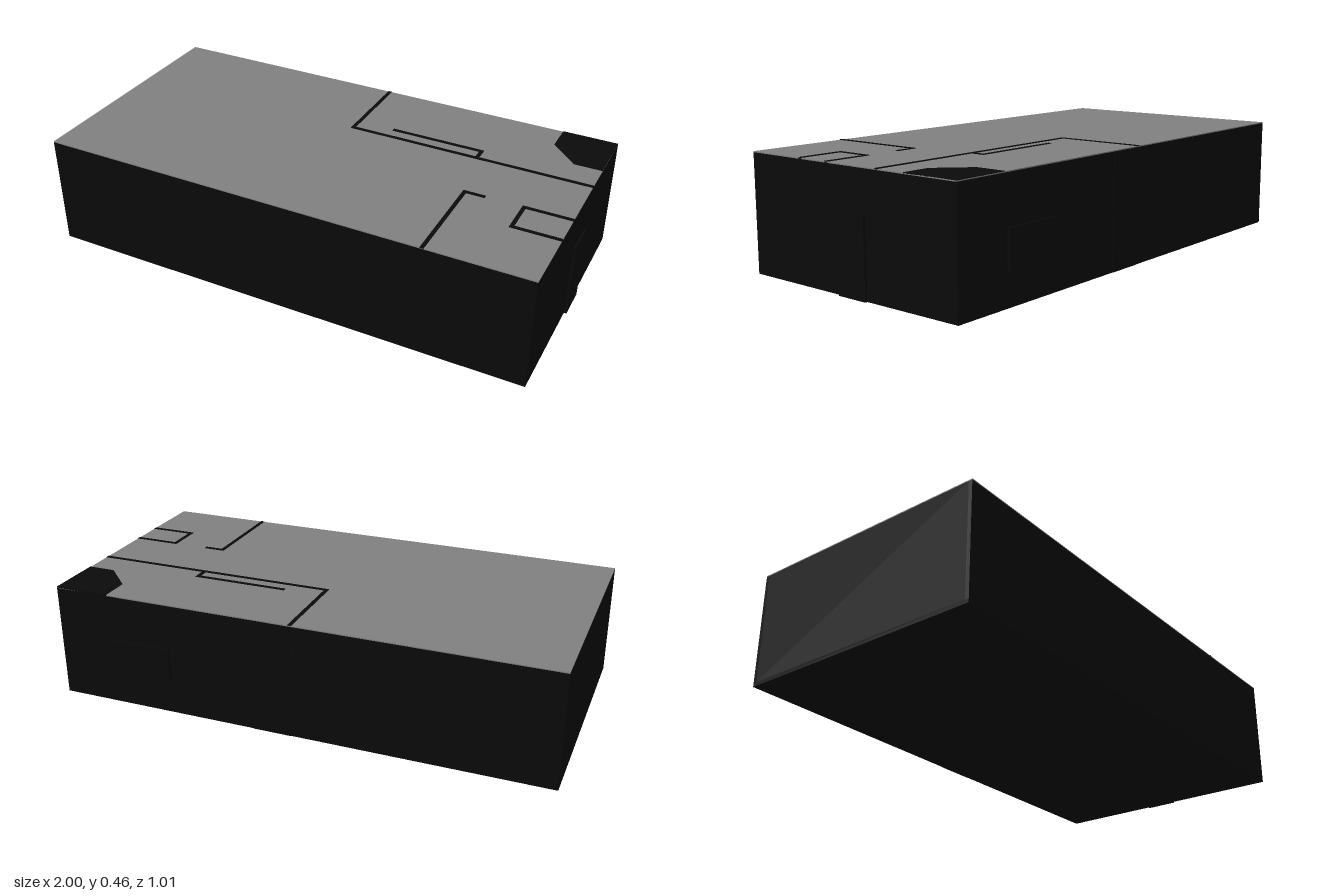
import * as THREE from 'three';

const X0 = -1, X1 = 0.99, Z0 = -0.495, Z1 = 0.505; // outer footprint
const Y0 = 0.004, TOP = 0.459, T = 0.015;          // base, roof level, wall thickness

export function createModel() {
  const group = new THREE.Group();
  const dark = new THREE.MeshStandardMaterial({ color: 0x0a0a0a });
  const grey = new THREE.MeshStandardMaterial({ color: 0x808080 });

  // Box given by its minimum and maximum on each axis
  const block = (name, x0, x1, y0, y1, z0, z1, material = dark) => {
    const mesh = new THREE.Mesh(new THREE.BoxGeometry(x1 - x0, y1 - y0, z1 - z0), material);
    mesh.position.set((x0 + x1) / 2, (y0 + y1) / 2, (z0 + z1) / 2);
    mesh.name = name;
    group.add(mesh);
  };

  // Shell: floor, outer walls and ceiling
  const under = TOP - 0.004;
  block('floor', X0, X1, Y0, Y0 + T, Z0, Z1);
  block('frontWall', X0, X1, Y0 + T, under, Z1 - T, Z1);
  block('backWall', X0, X1, Y0 + T, under, Z0, Z0 + T);
  block('leftWall', X1 - T, X1, Y0 + T, under, Z0 + T, Z1 - T);
  block('rightWall', X0, X0 + T, Y0 + T, under, Z0 + T, Z1 - T);
  block('ceiling', X0, X1, under, TOP, Z0, Z1, grey);

  // Inner walls, just showing through the ceiling: x0, x1, z0, z1
  const walls = [
    [-0.005, 0.01, Z0, -0.132],
    [0.01, X1, -0.147, -0.132],
    [0.155, 0.54, -0.203, -0.188],
    [0.525, 0.54, -0.188, -0.147],
    [0.573, 0.588, 0.1, Z1],
    [0.588, 0.66, 0.1, 0.115],
    [0.8, 0.815, 0.1, 0.252],
    [0.815, X1, 0.1, 0.115],
    [0.815, X1, 0.237, 0.252],
  ];
  for (const [x0, x1, z0, z1] of walls) block('innerWall', x0, x1, Y0 + T, TOP + 0.002, z0, z1);

  // Full-height corner cubicle with a cut-off corner
  const plan = new THREE.Shape([
    [0.768, Z0], [X1, Z0], [X1, -0.266], [0.88, -0.266], [0.768, -0.378],
  ].map(([x, z]) => new THREE.Vector2(x, -z)));
  const cubicle = new THREE.Mesh(
    new THREE.ExtrudeGeometry(plan, { depth: TOP + 0.002 - Y0, bevelEnabled: false }), dark);
  cubicle.rotation.x = -Math.PI / 2;
  cubicle.position.y = Y0;
  cubicle.name = 'cornerCubicle';
  group.add(cubicle);

  // Entrance door, rear window and rear wall panel
  block('door', X1 - T, 1, Y0, 0.305, -0.082, 0.05);
  block('window', 0.505, 0.755, 0.13, 0.275, -0.505, Z0 + T);
  block('rearPanel', 0.005, 0.16, Y0, under, Z0 - 0.002, Z0 + T);

  return group;
}
